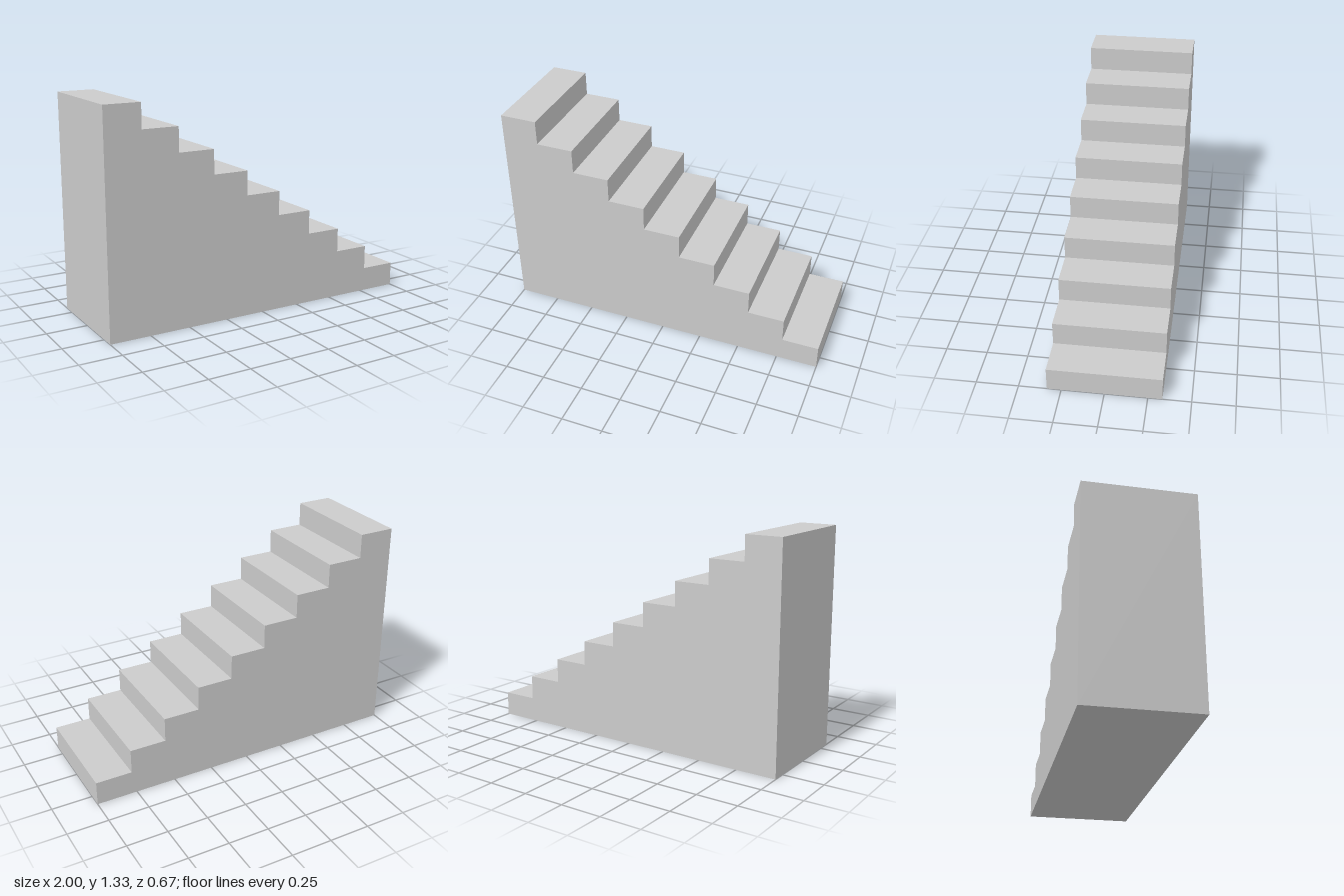
import * as THREE from 'three';

const STEPS = 9;
const LENGTH = 2;
const HEIGHT = 4 / 3;
const WIDTH = 2 / 3;

export function createModel() {
  const group = new THREE.Group();
  group.name = 'staircase';

  const tread = LENGTH / STEPS;
  const riser = HEIGHT / STEPS;

  // Stepped side profile, climbing from the low +x end to the high -x end
  const profile = new THREE.Shape();
  profile.moveTo(-LENGTH / 2, 0);
  profile.lineTo(LENGTH / 2, 0);
  for (let i = 0; i < STEPS; i++) {
    const x = LENGTH / 2 - i * tread;
    const y = (i + 1) * riser;
    profile.lineTo(x, y);
    profile.lineTo(x - tread, y);
  }
  profile.closePath();

  // Solid flight of steps, centred across its width
  const geometry = new THREE.ExtrudeGeometry(profile, { depth: WIDTH, bevelEnabled: false });
  geometry.translate(0, 0, -WIDTH / 2);
  const material = new THREE.MeshStandardMaterial({ color: 0xcccccc, flatShading: true });
  const steps = new THREE.Mesh(geometry, material);
  steps.name = 'solidSteps';
  group.add(steps);

  return group;
}
